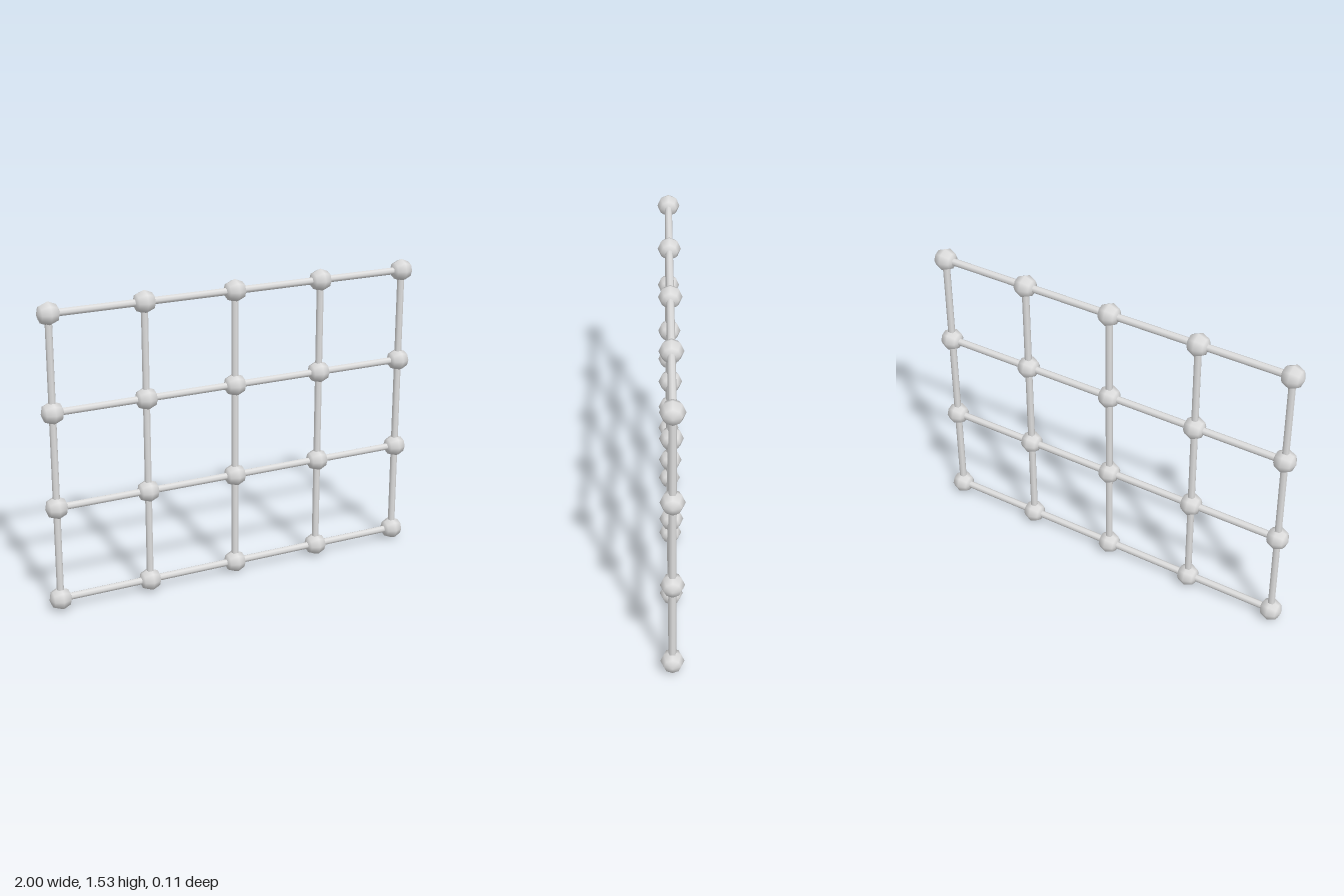
import * as THREE from 'three';

export function createModel() {
  const model = new THREE.Group();
  const metal = new THREE.MeshStandardMaterial({ color: 0xdedede });
  metal.name = 'light grey metal';

  const columns = 5, rows = 4;
  const ballRadius = 0.057, rodRadius = 0.018, pitch = (2 - 2 * ballRadius) / (columns - 1);
  const width = pitch * (columns - 1), height = pitch * (rows - 1);

  const add = (name, geometry, x, y) => {
    const mesh = new THREE.Mesh(geometry, metal);
    mesh.name = name;
    mesh.position.set(x, y, 0);
    model.add(mesh);
  };

  // Coarse eight-sided ball with its poles along the horizontal rods
  const ball = new THREE.SphereGeometry(ballRadius, 8, 4).rotateZ(Math.PI / 2);
  const upright = new THREE.CylinderGeometry(rodRadius, rodRadius, height, 8);
  const crossbar = new THREE.CylinderGeometry(rodRadius, rodRadius, width, 8).rotateZ(Math.PI / 2);

  // Vertical rods
  for (let c = 0; c < columns; c++) {
    add('verticalRod', upright, -width / 2 + c * pitch, ballRadius + height / 2);
  }
  // Horizontal rods, with a ball joint at each crossing
  for (let r = 0; r < rows; r++) {
    const y = ballRadius + r * pitch;
    add('horizontalRod', crossbar, 0, y);
    for (let c = 0; c < columns; c++) add('ballJoint', ball, -width / 2 + c * pitch, y);
  }
  return model;
}
